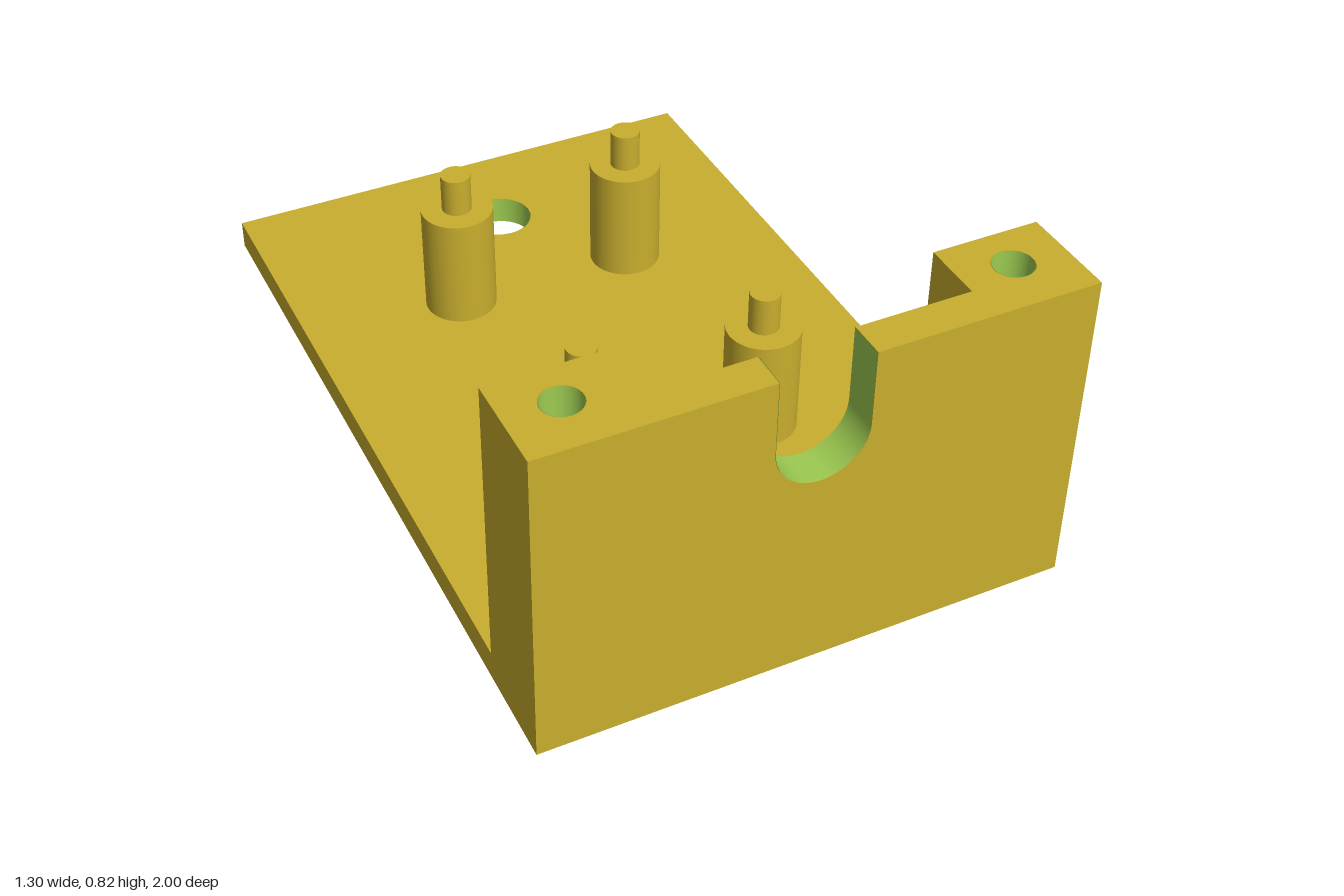
import * as THREE from 'three';

const gold = new THREE.MeshStandardMaterial({ color: 0xc8ae2e });
gold.name = 'gold';
const green = new THREE.MeshStandardMaterial({ color: 0x9dcb51, side: THREE.DoubleSide });
green.name = 'cut green';

const BASE = 0.075, TOP = 0.82, HALF = 0.65;
const POST_X = 0.39, POST_Z = 0.76, WALL_Z = 0.91;
const SLOT_R = 0.112, SLOT_Y = 0.633, SCREW_FLOOR = 0.45;

export function createModel() {
  const model = new THREE.Group();
  model.name = 'mountingBracket';

  const add = (name, geometry, material, x = 0, y = 0, z = 0) => {
    const mesh = new THREE.Mesh(geometry, material);
    mesh.name = name;
    mesh.position.set(x, y, z);
    model.add(mesh);
  };

  // Rectangular slab in plan with round holes, extruded upward from y0 to y1
  const slab = (name, x0, x1, z0, z1, y0, y1, holes) => {
    const shape = new THREE.Shape([[x0, -z0], [x0, -z1], [x1, -z1], [x1, -z0]]
      .map(([x, y]) => new THREE.Vector2(x, y)));
    for (const [x, z, r] of holes) {
      shape.holes.push(new THREE.Path().absarc(x, -z, r, 0, Math.PI * 2, true));
      // Green hole wall
      add(name + 'HoleWall', new THREE.CylinderGeometry(r - 0.001, r - 0.001, y1 - y0, 48, 1, true),
        green, x, (y0 + y1) / 2, z);
    }
    const geometry = new THREE.ExtrudeGeometry(shape, { depth: y1 - y0, bevelEnabled: false, curveSegments: 24 });
    add(name, geometry.rotateX(-Math.PI / 2), gold, 0, y0, 0);
  };

  // Base plate with two through holes
  slab('basePlate', -HALF, HALF, -1, 1, 0, BASE, [[0, -0.727, 0.085], [0, 0.685, 0.085]]);

  // Corner posts with blind screw holes
  for (const s of [-1, 1]) {
    const x0 = s < 0 ? -HALF : POST_X, x1 = s < 0 ? -POST_X : HALF;
    slab('cornerPostLower', x0, x1, POST_Z, 1, BASE, SCREW_FLOOR, []);
    slab('cornerPostUpper', x0, x1, POST_Z, 1, SCREW_FLOOR, TOP, [[s * 0.52, 0.867, 0.048]]);
    add('screwHoleFloor', new THREE.CircleGeometry(0.048, 48).rotateX(-Math.PI / 2),
      green, s * 0.52, SCREW_FLOOR + 0.002, 0.867);
  }

  // Front wall with a U-shaped slot
  const wall = new THREE.Shape();
  wall.moveTo(-POST_X, BASE);
  wall.lineTo(POST_X, BASE);
  wall.lineTo(POST_X, TOP);
  wall.lineTo(SLOT_R, TOP);
  wall.lineTo(SLOT_R, SLOT_Y);
  wall.absarc(0, SLOT_Y, SLOT_R, 0, -Math.PI, true);
  wall.lineTo(-SLOT_R, TOP);
  wall.lineTo(-POST_X, TOP);
  wall.closePath();
  const depth = 1 - WALL_Z;
  add('frontWall', new THREE.ExtrudeGeometry(wall, { depth, bevelEnabled: false, curveSegments: 32 }),
    gold, 0, 0, WALL_Z);

  // Green lining of the slot: half pipe and two straight cheeks
  const r = SLOT_R - 0.001;
  add('slotCurve', new THREE.CylinderGeometry(r, r, depth, 32, 1, true, -Math.PI / 2, Math.PI)
    .rotateX(Math.PI / 2), green, 0, SLOT_Y, WALL_Z + depth / 2);
  for (const s of [-1, 1]) {
    add('slotCheek', new THREE.PlaneGeometry(depth, TOP - SLOT_Y).rotateY(-s * Math.PI / 2),
      green, s * r, (TOP + SLOT_Y) / 2, WALL_Z + depth / 2);
  }

  // Four standoffs with locating pins
  for (const x of [-0.236, 0.236]) {
    for (const z of [-0.425, 0.332]) {
      add('standoff', new THREE.CylinderGeometry(0.092, 0.092, 0.295, 40), gold, x, BASE + 0.1475, z);
      add('locatingPin', new THREE.CylinderGeometry(0.038, 0.038, 0.1, 32), gold, x, 0.42, z);
    }
  }
  return model;
}
